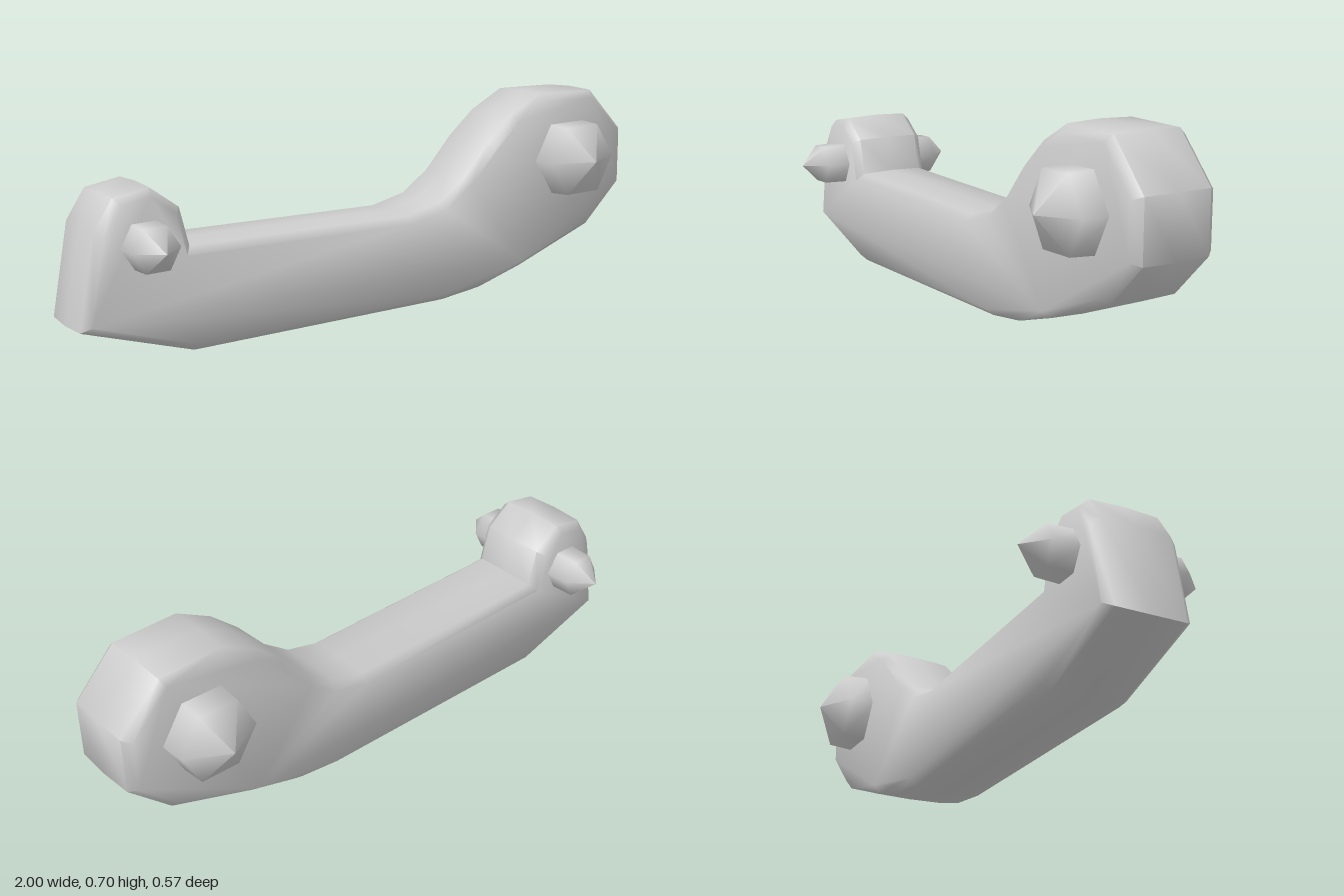
import * as THREE from 'three';
import { toCreasedNormals } from 'three/addons/utils/BufferGeometryUtils.js';

const material = new THREE.MeshStandardMaterial({ color: 0xcccccc });

// Side outline of the arm, counter-clockwise seen from the front
const outline = [
  [-1, 0.105], [-0.645, 0.003], [0.25, 0.037], [0.4, 0.06], [0.57, 0.115], [0.86, 0.23],
  [1, 0.37], [1, 0.56], [0.86, 0.704], [0.64, 0.702], [0.52, 0.635], [0.425, 0.55],
  [0.33, 0.44], [0.235, 0.37], [0.115, 0.338], [-0.65, 0.328], [-0.68, 0.445],
  [-0.775, 0.513], [-0.89, 0.49], [-0.95, 0.395],
].map(([x, y]) => new THREE.Vector2(x, y));

// Moves every edge of a closed outline inwards by d, with mitred corners
function inset(points, d) {
  const n = points.length;
  return points.map((p, i) => {
    const u = p.clone().sub(points[(i + n - 1) % n]).normalize();
    const v = points[(i + 1) % n].clone().sub(p).normalize();
    const k = d / (1 + u.dot(v));
    return new THREE.Vector2(p.x - (u.y + v.y) * k, p.y + (u.x + v.x) * k);
  });
}

// Skins the outline across its width: flat sides, chamfered rims, slight crown
function armGeometry() {
  const sections = [[-0.135, 0.027], [-0.109, 0.004], [0, 0], [0.109, 0.004], [0.135, 0.027]];
  const n = outline.length;
  const positions = [];
  const index = [];
  for (const [z, d] of sections) {
    for (const p of inset(outline, d)) positions.push(p.x, p.y, z);
  }
  const last = (sections.length - 1) * n;
  for (let base = 0; base < last; base += n) {
    for (let i = 0; i < n; i++) {
      const a = base + i;
      const b = base + ((i + 1) % n);
      index.push(a, b, b + n, a, b + n, a + n);
    }
  }
  // Flat side faces
  for (const [a, b, c] of THREE.ShapeUtils.triangulateShape(inset(outline, 0.027), [])) {
    index.push(a, c, b, last + a, last + b, last + c);
  }
  const geometry = new THREE.BufferGeometry();
  geometry.setAttribute('position', new THREE.Float32BufferAttribute(positions, 3));
  geometry.setIndex(index);
  return toCreasedNormals(geometry, 0.9);
}

// Six-sided pin through the arm, pointed at both ends
function pin(name, x, y, radius) {
  const profile = [
    [0, -0.285], [radius, -0.215], [radius * 1.05, -0.12],
    [radius * 1.05, 0.12], [radius, 0.215], [0, 0.285],
  ].map(([r, h]) => new THREE.Vector2(r, h));
  const geometry = new THREE.LatheGeometry(profile, 6);
  geometry.rotateX(Math.PI / 2).rotateZ(0.57);
  const mesh = new THREE.Mesh(geometry, material);
  mesh.name = name;
  mesh.position.set(x, y, 0);
  return mesh;
}

export function createModel() {
  const group = new THREE.Group();
  group.name = 'pinnedLinkArm';
  const arm = new THREE.Mesh(armGeometry(), material);
  arm.name = 'arm';
  group.add(arm, pin('largePin', 0.745, 0.48, 0.13), pin('smallPin', -0.8, 0.346, 0.074));
  return group;
}
